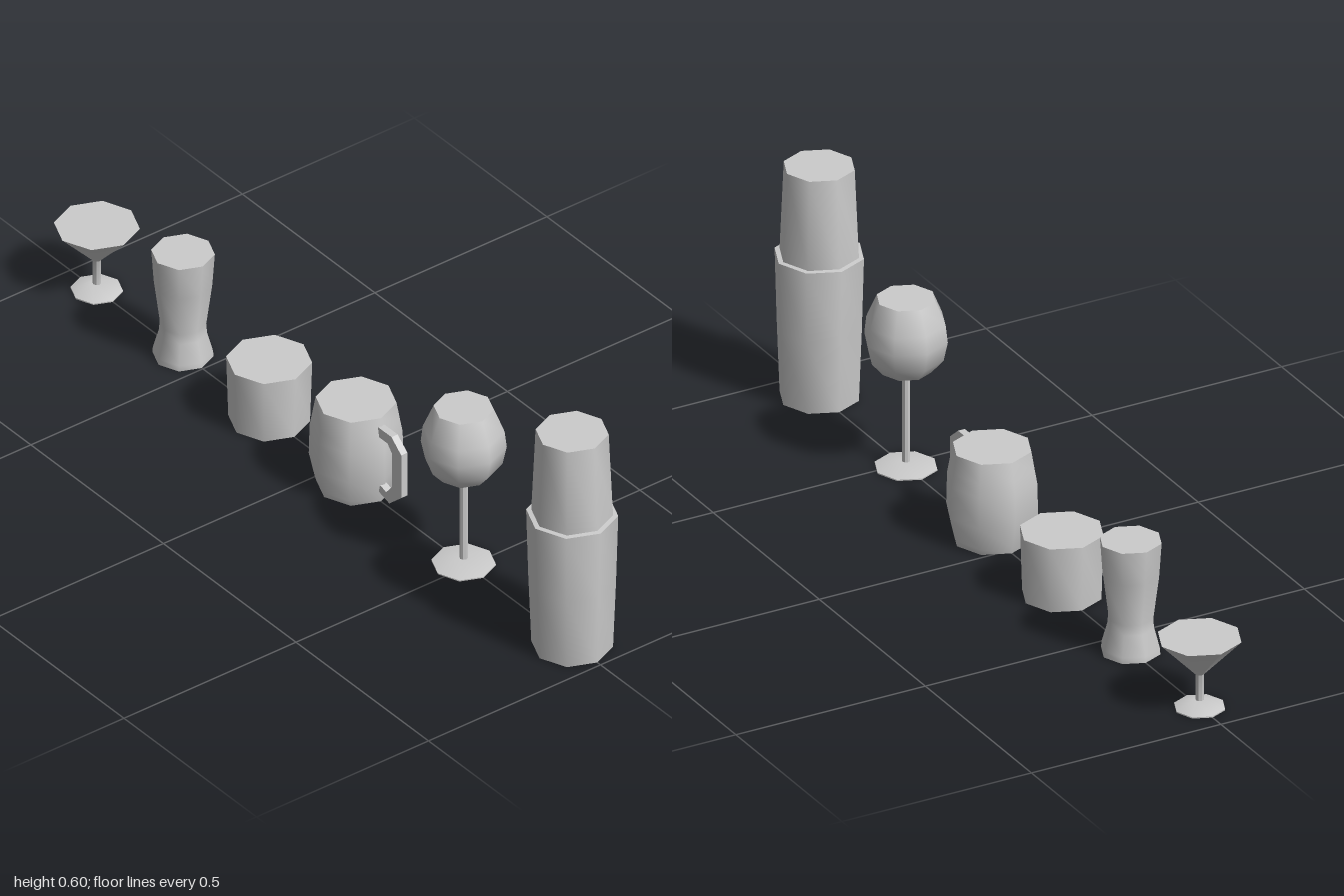
import * as THREE from 'three';
import { toCreasedNormals } from 'three/addons/utils/BufferGeometryUtils.js';

const SIDES = 8;
const material = new THREE.MeshStandardMaterial({ color: 0xcccccc });

// Closed eight-sided turned vessel; profile is [radius, height] from bottom to top
function turned(name, x, profile) {
  const top = profile[profile.length - 1][1];
  const points = [[0, 0], ...profile, [0, top]].map(([r, y]) => new THREE.Vector2(r, y));
  const geometry = toCreasedNormals(new THREE.LatheGeometry(points, SIDES), 0.9);
  const mesh = new THREE.Mesh(geometry, material);
  mesh.name = name;
  mesh.position.x = x;
  return mesh;
}

// Flat angular loop, drawn relative to the mug's axis
function mugHandle() {
  const outline = [
    [0.09, 0.213], [0.145, 0.213], [0.182, 0.182], [0.182, 0.062], [0.137, 0.022], [0.085, 0.037],
    [0.085, 0.06], [0.125, 0.047], [0.147, 0.074], [0.147, 0.168], [0.13, 0.187], [0.09, 0.187],
  ];
  const shape = new THREE.Shape(outline.map(([x, y]) => new THREE.Vector2(x, y)));
  const geometry = new THREE.ExtrudeGeometry(shape, { depth: 0.018, bevelEnabled: false });
  geometry.translate(0, 0, -0.009);
  const mesh = new THREE.Mesh(geometry, material);
  mesh.name = 'mugHandle';
  return mesh;
}

export function createModel() {
  const model = new THREE.Group();
  model.name = 'barware';

  // Conical cocktail glass
  model.add(turned('cocktailGlass', -0.9, [
    [0.061, 0], [0.061, 0.003], [0.01, 0.02], [0.01, 0.086], [0.1, 0.181],
  ]));

  // Tall waisted beer glass
  model.add(turned('beerGlass', -0.575, [
    [0.071, 0], [0.07, 0.015], [0.056, 0.065], [0.054, 0.09], [0.068, 0.2], [0.074, 0.287],
  ]));

  // Short tumbler
  model.add(turned('tumbler', -0.25, [[0.095, 0], [0.1, 0.165]]));

  // Barrel mug with handle
  const mug = turned('mug', 0.078, [
    [0.093, 0], [0.097, 0.015], [0.11, 0.075], [0.108, 0.155], [0.102, 0.188], [0.094, 0.234],
  ]);
  mug.add(mugHandle());
  model.add(mug);

  // Stemmed wine glass
  model.add(turned('wineGlass', 0.484, [
    [0.075, 0], [0.075, 0.003], [0.01, 0.016], [0.01, 0.228], [0.06, 0.252],
    [0.09, 0.287], [0.1, 0.335], [0.095, 0.378], [0.07, 0.437],
  ]));

  // Two-piece shaker: base tin and the narrower cup standing in it
  model.add(turned('shaker', 0.893, [
    [0.095, 0], [0.102, 0.185], [0.107, 0.369], [0.095, 0.37], [0.085, 0.596],
  ]));

  return model;
}
